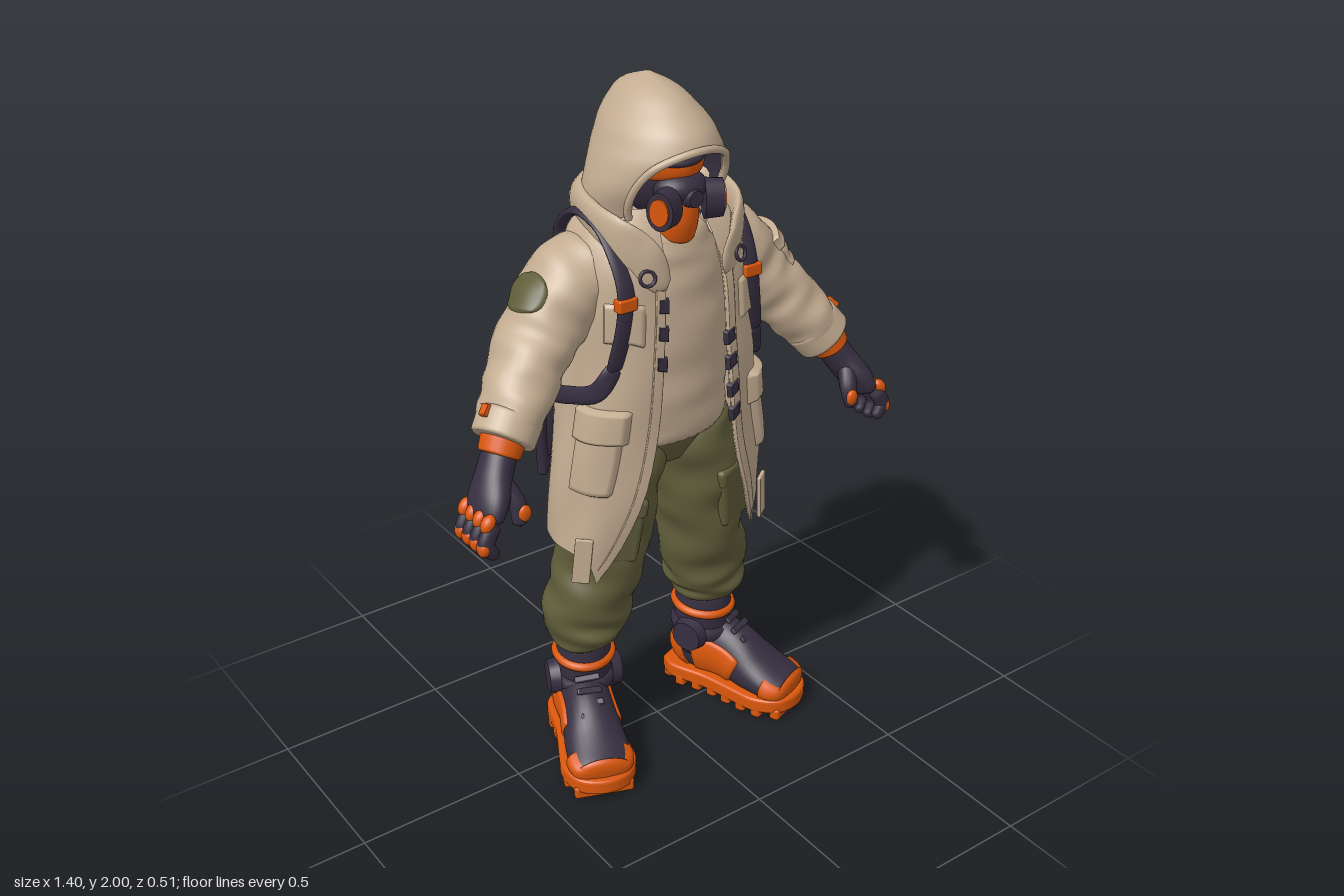
import * as THREE from 'three';
import { mergeVertices } from 'three/addons/utils/BufferGeometryUtils.js';
import { RoundedBoxGeometry } from 'three/addons/geometries/RoundedBoxGeometry.js';

const paint = (name, color) => Object.assign(new THREE.MeshStandardMaterial({ color, side: THREE.DoubleSide }), { name });
const V = (x, y, z) => new THREE.Vector3(x, y, z);
const { sin, cos, abs, min, max, PI } = Math;

// Smooth interpolation through a small table of rows
function curve(rows, times = rows.map((_, i) => i / (rows.length - 1))) {
  const c = new THREE.CubicInterpolant(times, rows.flat(), rows[0].length);
  return t => [...c.evaluate(t)];
}

// Surface along a path; rows are x, y, z, side radius, radius towards ref
function limb(rows, { ref = V(0, 0, 1), fold = 0, cap = 16 } = {}) {
  const f = curve(rows);
  return (u, v, off = 0) => {
    const [x, y, z, ra, rb] = f(v), a = u * 2 * PI;
    const T = V(...f(min(1, v + 0.01))).sub(V(...f(max(0, v - 0.01)))).normalize();
    const B = ref.clone().addScaledVector(T, -ref.dot(T)).normalize();
    const A = B.clone().cross(T);
    const k = Math.sqrt(max(0, 1 - abs(2 * v - 1) ** cap));
    const w = 1 + fold * (sin(3 * a + 19 * v) + sin(2 * a - 31 * v) + 0.6 * sin(a + 47 * v));
    return V(x, y, z).addScaledVector(A, cos(a) * k * (ra * w + off)).addScaledVector(B, sin(a) * k * (rb * w + off));
  };
}

// Upright garment shell with a front opening; rows are y, rx, rz, centre z, half gap
function shell(rows, n, hem, fold = 0) {
  const f = curve(rows, rows.map(r => r[0])), top = rows[rows.length - 1][0];
  const surf = (u, v, off = 0) => {
    const y0 = hem(u), y = y0 + v * (top - y0), [, rx, rz, cz, gap] = f(y);
    const g = min(0.98, max(0, gap / rx)), a0 = Math.atan2(g, (1 - g ** n) ** (1 / n));
    const a = a0 + u * 2 * (PI - a0), s = sin(a), c = cos(a);
    const k = (abs(s) ** n + abs(c) ** n) ** (-1 / n);
    const w = 1 + fold * (sin(9 * a + 5 * y) + sin(5 * a - 17 * y));
    return V(s * k * (rx * w + off), y, cz + c * k * (rz * w + off));
  };
  // Surface depth at a given x and y, in front (1) or behind (-1)
  surf.depth = (x, y, side) => {
    const [, rx, rz, cz] = f(y);
    return cz + side * rz * (1 - min(1, x / rx) ** n) ** (1 / n);
  };
  return surf;
}

function skin(surf, nu = 32, nv = 24) {
  const g = new THREE.PlaneGeometry(1, 1, nu, nv), uv = g.attributes.uv, p = g.attributes.position;
  for (let i = 0; i < p.count; i++) p.setXYZ(i, ...surf(uv.getX(i), uv.getY(i)).toArray());
  g.deleteAttribute('uv');
  g.deleteAttribute('normal');
  const m = mergeVertices(g, 1e-5);
  m.computeVertexNormals();
  return m;
}

// Raised patch lying on another surface
function patch(surf, u0, u1, v0, v1, off, round = false) {
  return skin((u, v) => {
    const d = min(u, 1 - u, v, 1 - v);
    let x = 2 * u - 1, y = 2 * v - 1;
    if (round) [x, y] = [x * Math.sqrt(1 - y * y / 2), y * Math.sqrt(1 - x * x / 2)];
    return surf(u0 + (u1 - u0) * (x + 1) / 2, v0 + (v1 - v0) * (y + 1) / 2, d > 1e-6 ? off : -0.003);
  }, 16, 16);
}

function mirrored(group) {
  const out = new THREE.Group();
  out.name = group.name.replace('left', 'right');
  group.updateMatrixWorld(true);
  group.traverse(m => {
    if (!m.isMesh) return;
    let g = m.geometry.clone().applyMatrix4(m.matrixWorld).scale(-1, 1, 1);
    if (!g.index) g = mergeVertices(g);
    const ix = g.index.array;
    for (let i = 0; i < ix.length; i += 3) [ix[i], ix[i + 1]] = [ix[i + 1], ix[i]];
    const copy = new THREE.Mesh(g, m.material);
    copy.name = m.name;
    out.add(copy);
  });
  return out;
}

export function createModel() {
  const canvas = paint('canvas beige', 0xc3ac91), olive = paint('olive', 0x605d3a);
  const dark = paint('dark violet', 0x362e40), orange = paint('orange', 0xda570c);
  const model = new THREE.Group();
  model.name = 'hoodedExplorer';
  const add = (to, name, geo, mat, pos = [0, 0, 0], rot = [0, 0, 0], scale = [1, 1, 1]) => {
    const m = new THREE.Mesh(geo, mat);
    m.name = name;
    m.position.set(...pos); m.rotation.set(...rot); m.scale.set(...scale);
    to.add(m);
  };
  const group = name => Object.assign(new THREE.Group(), { name });
  const ball = new THREE.SphereGeometry(1, 24, 16);
  const box = (w, h, d, r = 0.01) => new RoundedBoxGeometry(w, h, d, 2, r);
  const X = V(1, 0, 0), Y = V(0, 1, 0);

  // Coat, open at the front with long front tails
  const coat = shell([
    [0.6, 0.335, 0.16, -0.025, 0.29], [0.75, 0.325, 0.175, -0.015, 0.215], [0.9, 0.312, 0.19, -0.012, 0.16],
    [1.1, 0.287, 0.19, -0.008, 0.12], [1.3, 0.265, 0.186, -0.004, 0.105], [1.45, 0.26, 0.178, -0.004, 0.095],
    [1.56, 0.25, 0.164, -0.01, 0.085], [1.63, 0.215, 0.142, -0.022, 0.075], [1.68, 0.14, 0.11, -0.03, 0.06],
  ], 2.8, u => 0.715 - 0.09 * max(0, 1 - min(u, 1 - u) / 0.06) + (u > 0.53 && u < 0.6 ? 0.03 : 0), 0.009);
  add(model, 'coat', skin(coat, 96, 40), canvas);
  for (const side of ['left', 'right']) {
    const on = (name, u0, u1, v0, v1, off, mat) => add(model, side + name,
      side === 'left' ? patch(coat, u0, u1, v0, v1, off) : patch(coat, 1 - u1, 1 - u0, v0, v1, off), mat);
    on('CoatPlacket', 0, 0.02, 0, 0.9, 0.008, canvas);
    on('CoatPocket', 0.06, 0.17, 0.2, 0.4, 0.014, canvas);
    on('CoatPocketFlap', 0.05, 0.18, 0.37, 0.47, 0.022, canvas);
    on('ChestPanel', 0.035, 0.12, 0.66, 0.78, 0.007, canvas);
    for (const v of side === 'left' ? [0.41, 0.48, 0.56, 0.63] : [0.61, 0.69, 0.76, 0.84])
      on('CoatFastener', -0.006, 0.014, v, v + 0.038, 0.011, dark);
  }
  add(model, 'shirt', skin(limb([[0, 0.99, 0, 0.21, 0.135], [0, 1.15, 0, 0.215, 0.145], [0, 1.35, 0, 0.21, 0.145],
    [0, 1.52, -0.005, 0.18, 0.135], [0, 1.63, 0, 0.11, 0.11]], { fold: 0.012, cap: 36 }), 40, 36), canvas);

  // Hood, dark lining, rolled rim and draped collar
  const hood = shell([
    [1.58, 0.17, 0.14, -0.06, 0.1], [1.68, 0.192, 0.165, -0.04, 0.14], [1.74, 0.19, 0.185, -0.015, 0.145],
    [1.79, 0.176, 0.198, -0.004, 0.125], [1.825, 0.163, 0.2, -0.002, 0.085], [1.85, 0.151, 0.195, -0.004, 0],
    [1.885, 0.134, 0.183, -0.01, 0], [1.925, 0.104, 0.152, -0.022, 0], [1.97, 0.06, 0.095, -0.035, 0], [2, 0.003, 0.003, -0.04, 0],
  ], 1.85, () => 1.58);
  add(model, 'hood', skin(hood, 64, 48), canvas);
  add(model, 'hoodLining', skin((u, v) => hood(u, v * 0.9, -0.012), 48, 32), dark);
  const rim = [];
  for (let i = 0; i <= 16; i++) rim.push(hood(i < 8 ? 0 : 1, (i < 8 ? i / 8 : (16 - i) / 8) * 0.64));
  add(model, 'hoodRim', new THREE.TubeGeometry(new THREE.CatmullRomCurve3(rim), 48, 0.011, 8), canvas);
  const half = [[0.095, 1.49, 0.172, 0.012, 0.04], [0.15, 1.575, 0.142, 0.016, 0.06], [0.195, 1.635, 0.08, 0.02, 0.055],
    [0.188, 1.665, -0.05, 0.028, 0.05], [0.12, 1.66, -0.155, 0.042, 0.068]];
  add(model, 'hoodCollar', skin(limb([...half, [0, 1.65, -0.195, 0.06, 0.09],
    ...half.map(([x, ...r]) => [-x, ...r]).reverse()], { ref: Y, fold: 0.04 }), 24, 60), canvas);

  // Masked head
  add(model, 'head', ball, dark, [0, 1.76, 0], [0, 0, 0], [0.11, 0.13, 0.115]);
  add(model, 'neckGuard', skin(limb([[0, 1.6, 0.06, 0.056, 0.07], [0, 1.65, 0.075, 0.06, 0.07], [0, 1.71, 0.07, 0.055, 0.07]])), orange);
  const band = (name, y, z, h, mat) => add(model, name, skin(limb([[0.1, y, 0.03, 0.014, h], [0.065, y, z - 0.035, 0.016, h],
    [0, y, z, 0.016, h], [-0.065, y, z - 0.035, 0.016, h], [-0.1, y, 0.03, 0.014, h]], { ref: Y })), mat);
  band('goggleFrame', 1.79, 0.124, 0.034, orange);
  band('goggleLens', 1.803, 0.13, 0.011, dark);
  add(model, 'maskBody', ball, dark, [0, 1.732, 0.096], [0, 0, 0], [0.075, 0.045, 0.065]);
  add(model, 'maskValve', new THREE.CylinderGeometry(0.022, 0.028, 0.03, 20), dark, [0, 1.715, 0.155], [PI / 2, 0, 0]);
  for (const s of [1, -1]) {
    add(model, 'maskCanister', new THREE.CylinderGeometry(0.038, 0.041, 0.05, 20), dark, [s * 0.078, 1.695, 0.137], [PI / 2, 0, -s * 1.1], [1, 1, 1.35]);
    add(model, 'canisterCap', new THREE.CylinderGeometry(0.027, 0.027, 0.008, 16), orange, [s * 0.102, 1.695, 0.149], [PI / 2, 0, -s * 1.1], [1, 1, 1.35]);
  }

  // Sleeve, cuff and glove
  const arm = group('leftArm');
  const sleeve = limb([[0.16, 1.56, -0.03, 0.085, 0.11], [0.26, 1.475, -0.04, 0.116, 0.122], [0.345, 1.385, -0.03, 0.106, 0.116],
    [0.418, 1.305, 0, 0.096, 0.11], [0.48, 1.23, 0.04, 0.088, 0.1], [0.535, 1.165, 0.07, 0.078, 0.085]], { fold: 0.024, cap: 30 });
  add(arm, 'sleeve', skin(sleeve, 36, 48), canvas);
  add(arm, 'sleeveCuff', skin(limb([[0.495, 1.212, 0.05, 0.086, 0.092], [0.545, 1.15, 0.075, 0.084, 0.088]]), 32, 16), canvas);
  add(arm, 'wristBand', skin(limb([[0.535, 1.165, 0.072, 0.06, 0.064], [0.562, 1.12, 0.085, 0.054, 0.06]]), 24, 16), orange);
  add(arm, 'cuffTab', patch(sleeve, -0.015, 0.025, 0.88, 0.96, 0.016), orange);
  add(arm, 'glove', skin(limb([[0.55, 1.14, 0.08, 0.045, 0.05], [0.585, 1.085, 0.1, 0.044, 0.057],
    [0.62, 1.03, 0.125, 0.042, 0.072], [0.645, 0.98, 0.138, 0.032, 0.07]])), dark);
  for (let i = 0; i < 4; i++) {
    const z = 0.08 + 0.037 * i, d = 0.012 * abs(i - 1.5);
    add(arm, 'finger', skin(limb([[0.64, 1.005, z, 0.024, 0.02], [0.672, 0.955, z + 0.004, 0.024, 0.019],
      [0.665, 0.915 + d, z + 0.006, 0.021, 0.018], [0.645, 0.888 + d, z + 0.006, 0.016, 0.015]]), 12, 14), dark);
    add(arm, 'knuckle', ball, orange, [0.662, 1.005, z], [0, 0, 0.6], [0.018, 0.026, 0.019]);
    add(arm, 'fingerGuard', ball, orange, [0.681, 0.942, z + 0.004], [0, 0, 0], [0.017, 0.024, 0.0205]);
  }
  add(arm, 'thumb', skin(limb([[0.585, 1.075, 0.13, 0.028, 0.028], [0.562, 1.02, 0.168, 0.025, 0.025], [0.565, 0.96, 0.185, 0.018, 0.018]]), 14, 14), dark);
  add(arm, 'thumbGuard', ball, orange, [0.555, 1.0, 0.193], [0, 0, 0], [0.019, 0.024, 0.012]);
  model.add(arm, mirrored(arm));
  add(model, 'leftSleevePocket', patch(sleeve, -0.07, 0.13, 0.33, 0.52, 0.011), canvas);
  add(model, 'leftSleevePocketFlap', patch(sleeve, -0.08, 0.14, 0.3, 0.38, 0.017), canvas);
  const badge = group('leftSleeveBadge');
  add(badge, 'sleeveBadge', patch(sleeve, -0.09, 0.11, 0.235, 0.425, 0.005, true), olive);
  model.add(mirrored(badge));

  // Trousers with cargo pockets
  add(model, 'trouserSeat', skin(limb([[0, 1.08, -0.01, 0.2, 0.125], [0, 1, -0.015, 0.2, 0.125], [0, 0.91, -0.02, 0.1, 0.09]])), olive);
  const leg = group('leftLeg');
  add(leg, 'trouserLeg', skin(limb([[0.11, 1.04, -0.02, 0.115, 0.13], [0.13, 0.9, -0.02, 0.128, 0.145], [0.16, 0.75, -0.025, 0.125, 0.145],
    [0.182, 0.6, -0.035, 0.124, 0.133], [0.21, 0.48, -0.053, 0.128, 0.128], [0.222, 0.4, -0.06, 0.115, 0.122],
    [0.222, 0.33, -0.06, 0.085, 0.09]], { fold: 0.032, cap: 30 }), 40, 60), olive);
  add(leg, 'cargoPocket', box(0.13, 0.19, 0.06, 0.018), olive, [0.195, 0.765, 0.085], [0.06, 0.3, 0.13]);
  add(leg, 'cargoPocketFlap', box(0.14, 0.06, 0.07, 0.015), olive, [0.185, 0.845, 0.09], [0.06, 0.3, 0.13]);
  model.add(leg, mirrored(leg));

  // Boots, toes turned outward
  const boot = group('leftBoot');
  const outline = [[0.055, -0.178], [0.082, -0.135], [0.08, -0.02], [0.095, 0.1], [0.099, 0.17], [0.068, 0.235], [0, 0.258]];
  const points = [...outline, ...outline.slice(0, -1).reverse().map(([x, z]) => [-x, z])].map(p => new THREE.Vector2(...p));
  const sole = new THREE.Shape().moveTo(...points[0].toArray()).splineThru(points.slice(1));
  add(boot, 'sole', new THREE.ExtrudeGeometry(sole, { depth: 0.028, bevelSize: 0.01, bevelThickness: 0.01, bevelSegments: 3, curveSegments: 24 })
    .rotateX(PI / 2), orange, [0, 0.06, 0]);
  const width = curve(outline.map(p => [p[0]]), outline.map(p => p[1]));
  for (let i = 0; i < 8; i++) {
    const z = -0.165 + i * 0.056;
    add(boot, 'treadLug', box(2 * width(z)[0] + 0.016, 0.04, 0.034, 0.01), orange, [0, 0.02, z]);
  }
  const upper = limb([[0, 0.115, -0.175, 0.068, 0.07], [0, 0.14, -0.08, 0.08, 0.105], [0, 0.14, 0.02, 0.078, 0.1],
    [0, 0.105, 0.12, 0.09, 0.072], [0, 0.085, 0.2, 0.09, 0.05], [0, 0.075, 0.25, 0.066, 0.042]], { ref: Y });
  add(boot, 'bootUpper', skin(upper), dark);
  add(boot, 'toeRand', patch(upper, -0.63, 0.13, 0.72, 1, 0.007), orange);
  add(boot, 'toeTip', patch(upper, 0, 0.5, 0.9, 1, 0.006), orange);
  add(boot, 'heelCup', patch(upper, -0.62, 0.12, 0, 0.14, 0.006), orange);
  for (const u of [-0.12, 0.42]) add(boot, 'sidePanel', patch(upper, u, u + 0.2, 0.2, 0.52, 0.007), orange);
  add(boot, 'bootShaft', skin(limb([[-0.008, 0.12, -0.07, 0.078, 0.09], [-0.01, 0.22, -0.075, 0.082, 0.088], [-0.012, 0.29, -0.075, 0.082, 0.09],
    [-0.014, 0.36, -0.07, 0.072, 0.08]], { cap: 30 })), dark);
  const ring = new THREE.TorusGeometry(0.08, 0.013, 8, 32).rotateX(PI / 2);
  add(boot, 'bootCollar', ring, orange, [-0.012, 0.295, -0.075], [0.08, 0, 0], [1.02, 1.1, 1.1]);
  add(boot, 'ankleStrap', ring, dark, [-0.01, 0.22, -0.075], [0.1, 0, 0], [1.06, 1.8, 1.1]);
  for (const s of [1, -1]) add(boot, 'anklePad', new THREE.CylinderGeometry(0.048, 0.056, 0.032, 20), dark, [s * 0.093 - 0.01, 0.215, -0.07], [0, 0, -s * PI / 2]);
  for (let i = 0; i < 4; i++) add(boot, 'lace', box(0.075, 0.012, 0.02, 0.005), dark, [0, 0.258 - i * 0.025, 0.025 + i * 0.027], [0.7, 0, i % 2 ? 0.15 : -0.15]);
  boot.position.set(0.26, 0, 0);
  boot.rotation.y = 0.37;
  model.add(boot, mirrored(boot));

  // Shoulder harness following the coat, with a run under each arm
  const strap = group('leftHarness');
  const at = (x, y, side, w = 0.026) => [x, y, coat.depth(x, y, side) + side * 0.01, 0.011, w];
  add(strap, 'shoulderStrap', skin(limb([at(0.235, 1.27, 1), at(0.21, 1.4, 1), at(0.2, 1.5, 1), [0.2, 1.585, 0.1, 0.011, 0.026],
    [0.2, 1.648, 0.03, 0.011, 0.026], [0.2, 1.66, -0.07, 0.012, 0.028], [0.2, 1.6, -0.145, 0.012, 0.028], at(0.2, 1.5, -1, 0.028),
    at(0.21, 1.35, -1, 0.028), at(0.24, 1.2, -1, 0.03), at(0.27, 1.05, -1, 0.032), at(0.285, 0.93, -1, 0.032)], { ref: X, cap: 60 }), 16, 70), dark);
  add(strap, 'underarmStrap', skin(limb([at(0.228, 1.3, 1), [0.268, 1.22, 0.1, 0.011, 0.026], [0.29, 1.18, 0, 0.011, 0.026],
    [0.283, 1.15, -0.09, 0.011, 0.028], at(0.25, 1.12, -1)], { ref: Y }), 16, 32), dark);
  add(strap, 'strapBuckle', box(0.058, 0.036, 0.032, 0.006), orange, [0.203, 1.47, coat.depth(0.203, 1.47, 1) + 0.012]);
  add(strap, 'chestRing', new THREE.TorusGeometry(0.02, 0.005, 8, 20), dark, [0.15, 1.535, coat.depth(0.15, 1.535, 1) + 0.02], [-0.3, 0.3, 0]);
  add(strap, 'coatTail', box(0.05, 0.14, 0.012, 0.004), canvas, [0.315, 0.71, 0.085], [0, 0.6, 0.1]);
  model.add(strap, mirrored(strap));
  add(model, 'rightStrapPanel', box(0.085, 0.27, 0.03, 0.012), dark, [-0.29, 1.02, -0.14], [0, PI + 0.8, -0.1]);
  add(model, 'rightStrapTag', box(0.05, 0.055, 0.03), orange, [-0.285, 1.16, -0.15], [0, PI + 0.8, 0]);

  // Hip bag on the left rear
  const bag = group('hipBag');
  add(bag, 'bagBody', box(0.17, 0.3, 0.08, 0.02), dark);
  add(bag, 'bagFlap', box(0.176, 0.1, 0.088, 0.02), dark, [0, 0.105, 0.002]);
  add(bag, 'bagPouch', box(0.075, 0.06, 0.04, 0.012), orange, [-0.052, -0.1, 0.04]);
  add(bag, 'bagTail', box(0.03, 0.15, 0.012, 0.004), dark, [-0.105, -0.205, -0.01], [0, 0, -0.1]);
  bag.position.set(0.275, 1.07, -0.16);
  bag.rotation.y = PI * 0.75;
  model.add(bag);
  return model;
}
